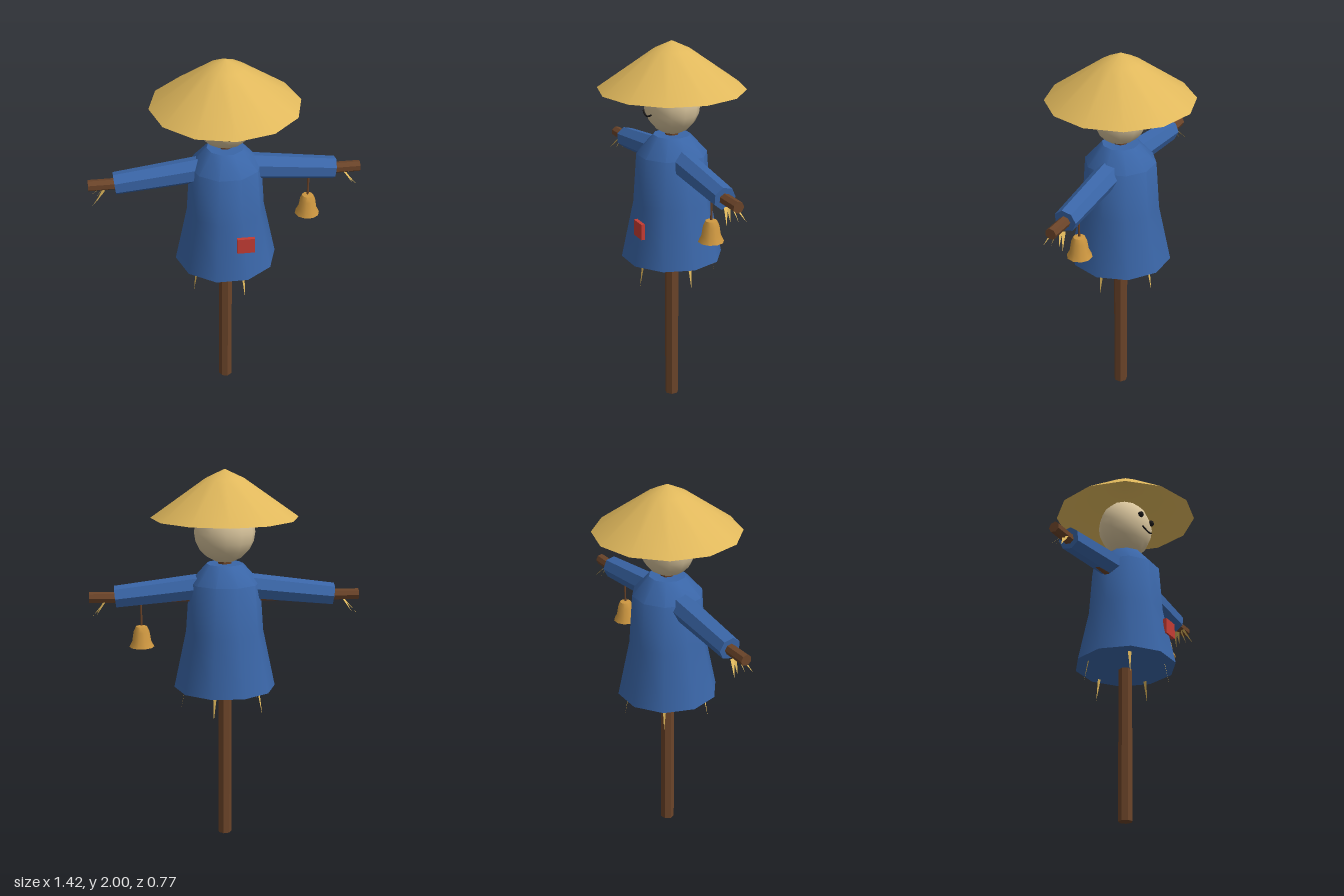
import * as THREE from 'three';
import { toCreasedNormals } from 'three/addons/utils/BufferGeometryUtils.js';

const mat = (color, side = THREE.FrontSide) => new THREE.MeshStandardMaterial({ color, side });
const cloth = mat(0x3a66a8), wood = mat(0x6b4429), skin = mat(0xd8c49c), ink = mat(0x1c1a1a);
const red = mat(0xc43c34), straw = mat(0xe0b85c, THREE.DoubleSide), brass = mat(0xcc9640, THREE.DoubleSide);

export function createModel() {
  const group = new THREE.Group();

  const add = (name, geometry, material, x = 0, y = 0, z = 0) => {
    const mesh = new THREE.Mesh(geometry, material);
    mesh.name = name;
    mesh.position.set(x, y, z);
    group.add(mesh);
    return mesh;
  };

  const lathe = (profile, sides, start = 0) => toCreasedNormals(
    new THREE.LatheGeometry(profile.map(([r, y]) => new THREE.Vector2(r, y)), sides, start), 0.8);

  // Flat tapering straw from a base point to a tip
  const blade = (name, base, tip, across) => {
    const a = base.clone().addScaledVector(across, -0.01);
    const b = base.clone().addScaledVector(across, 0.01);
    const geometry = new THREE.BufferGeometry().setFromPoints([a, b, tip]);
    geometry.computeVertexNormals();
    add(name, geometry, straw);
  };

  // Seven-sided rod between two points in the x-y plane
  const rod = (name, x0, y0, r0, x1, y1, r1, material) => {
    const from = new THREE.Vector3(x0, y0, 0), to = new THREE.Vector3(x1, y1, 0);
    const geometry = toCreasedNormals(
      new THREE.CylinderGeometry(r1, r0, from.distanceTo(to), 7, 1, false, Math.PI), 0.6);
    const mesh = add(name, geometry, material, (x0 + x1) / 2, (y0 + y1) / 2);
    mesh.quaternion.setFromUnitVectors(new THREE.Vector3(0, 1, 0), to.sub(from).normalize());
  };

  // Post and crossbar
  const post = toCreasedNormals(
    new THREE.CylinderGeometry(0.037, 0.037, 1.55, 7, 1, false, -Math.PI / 2), 0.6);
  add('post', post, wood, 0, 0.775);
  rod('crossbar', -0.71, 1.335, 0.03, 0.71, 1.335, 0.03, wood);

  // Robe, closed at collar and hem
  add('robe', lathe([[0, 0.82], [0.27, 0.842], [0.205, 1.15], [0.187, 1.41], [0.097, 1.51], [0, 1.51]],
    10, Math.PI / 2), cloth);
  add('patch', new THREE.BoxGeometry(0.092, 0.085, 0.02), red, 0.075, 1.042, 0.225);

  // Head and face
  add('head', new THREE.SphereGeometry(0.16, 12, 10), skin, 0, 1.675).scale.z = 0.9;
  const smile = new THREE.QuadraticBezierCurve3(
    new THREE.Vector3(-0.05, 1.64, 0.137), new THREE.Vector3(0, 1.606, 0.152), new THREE.Vector3(0.05, 1.64, 0.137));
  add('mouth', new THREE.TubeGeometry(smile, 6, 0.005, 5), ink);

  // Hat
  add('hat', lathe([[0.385, 1.752], [0.1, 1.953], [0, 2]], 12), straw);

  // Eyes, sleeves and hand straw on both sides
  for (const s of [-1, 1]) {
    add('eye', new THREE.SphereGeometry(0.017, 8, 6), ink, s * 0.058, 1.708, 0.132);
    rod('sleeve', s * 0.12, 1.387, 0.07, s * 0.574, 1.337, 0.06, cloth);
    for (const t of [-1, -0.4, 0.4, 1]) {
      const x = 0.66 + 0.035 * Math.abs(t);
      blade('handStraw', new THREE.Vector3(s * 0.63, 1.315, t * 0.025),
        new THREE.Vector3(s * x, 1.245, t * 0.055), new THREE.Vector3(s * 0.3, 0, -t).normalize());
    }
  }

  // Straw hanging from the hem
  for (let i = 0; i < 5; i++) {
    const a = i * Math.PI * 2 / 5, c = Math.cos(a), n = Math.sin(a);
    blade('hemStraw', new THREE.Vector3(0.21 * c, 0.845, 0.21 * n),
      new THREE.Vector3(0.235 * c, 0.715, 0.235 * n), new THREE.Vector3(-n, 0, c));
  }

  // Bell on a cord under the left sleeve
  add('bellCord', new THREE.CylinderGeometry(0.006, 0.006, 0.16, 6), wood, 0.44, 1.25);
  add('bell', lathe([[0.066, 1.068], [0.05, 1.1], [0.042, 1.15], [0.03, 1.178], [0, 1.184]],
    10, Math.PI / 2), brass, 0.44);
  add('bellClapper', new THREE.SphereGeometry(0.016, 8, 6), brass, 0.44, 1.068);

  return group;
}
